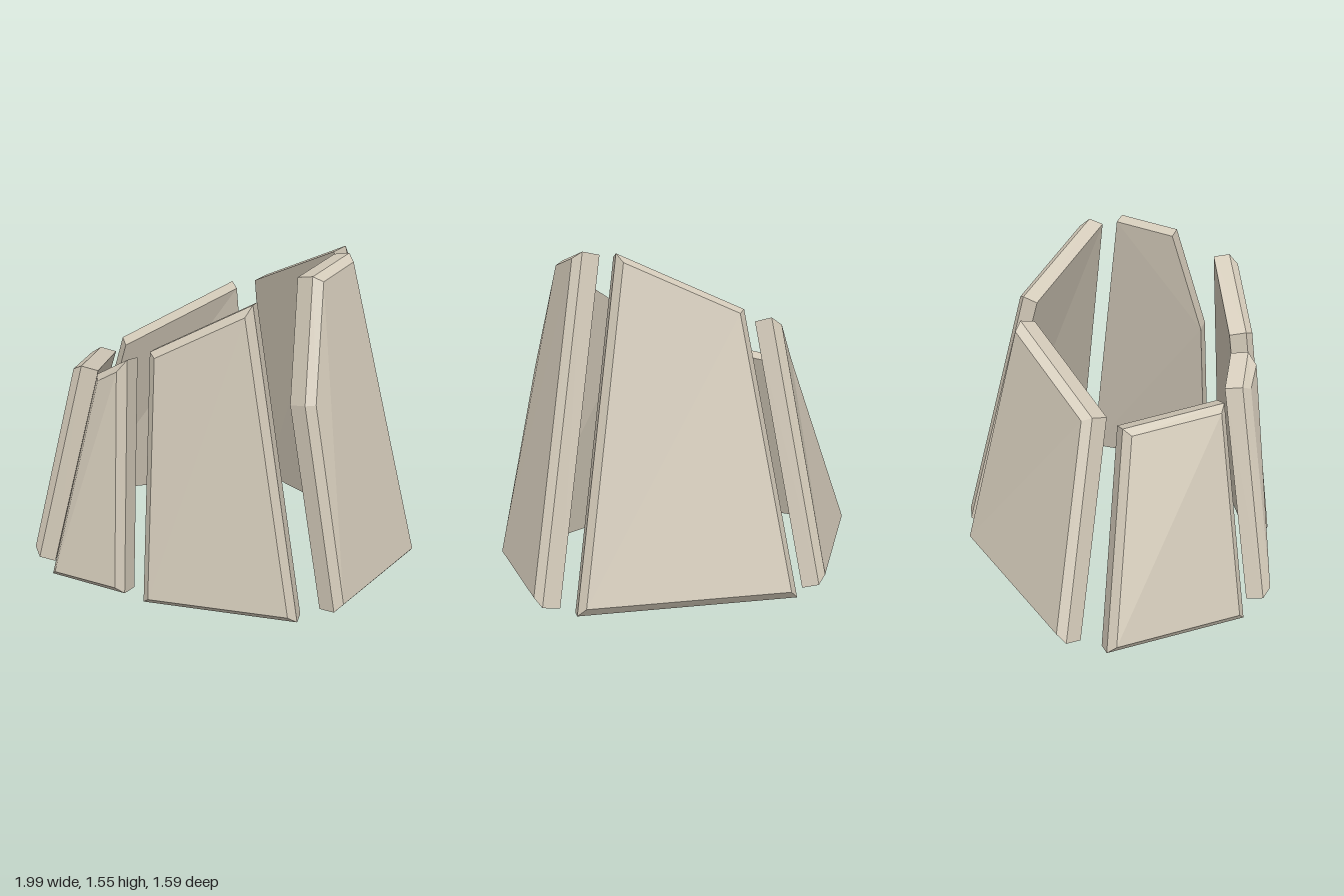
import * as THREE from 'three';

const stone = new THREE.MeshStandardMaterial({ color: 0xd2c9b8 });
stone.name = 'paleStone';

const DEPTH = 0.08;   // rim to inner face
const RAISE = 0.035;  // rim to outer face
const INSET = 0.032;  // bevel width on the outer face

// Leaning slab with a bevelled outer face.
// Rim corners run counter-clockwise as seen from outside.
function slab(name, corners) {
  const rim = corners.map(c => new THREE.Vector3(...c));
  const n = rim.length;
  const at = i => rim[(i + n) % n];

  // average outward normal of the rim
  const normal = new THREE.Vector3();
  for (let i = 0; i < n; i++) normal.add(at(i).clone().cross(at(i + 1)));
  normal.normalize();

  const inward = (a, b) => normal.clone().cross(b.clone().sub(a)).normalize();
  const outer = rim.map((p, i) => {
    const a = inward(at(i - 1), p), b = inward(p, at(i + 1));
    const mitre = INSET / (1 + a.dot(b));
    return p.clone().add(a.add(b).multiplyScalar(mitre)).addScaledVector(normal, RAISE);
  });
  const inner = rim.map(p => p.clone().addScaledVector(normal, -DEPTH));

  const pts = [];
  const face = (...v) => {
    for (let i = 1; i < v.length - 1; i++) pts.push(v[0], v[i], v[i + 1]);
  };
  face(...outer);
  face(...inner.slice().reverse());
  for (let i = 0; i < n; i++) {
    const j = (i + 1) % n;
    face(rim[i], rim[j], outer[j], outer[i]);  // bevel
    face(inner[i], inner[j], rim[j], rim[i]);  // side
  }
  const geometry = new THREE.BufferGeometry().setFromPoints(pts);
  geometry.computeVertexNormals();
  const mesh = new THREE.Mesh(geometry, stone);
  mesh.name = name;
  return mesh;
}

export function createModel() {
  const group = new THREE.Group();
  group.name = 'slabRing';
  group.add(
    slab('frontSlab', [
      [-0.12, 0.02, 0.765], [0.59, 0.02, 0.70], [0.33, 1.42, 0.575], [-0.12, 1.18, 0.605]]),
    slab('frontRightSlab', [
      [-0.63, 0.02, 0.68], [-0.23, 0.02, 0.73], [-0.23, 1.13, 0.60], [-0.40, 1.03, 0.555]]),
    // tall slab with a kinked front edge
    slab('leftSlab', [
      [0.73, 0.02, 0.575], [0.985, 0.02, -0.085], [0.62, 1.545, 0.045],
      [0.52, 1.495, 0.325], [0.545, 0.97, 0.495]]),
    slab('rightSlab', [
      [-0.985, 0.02, -0.075], [-0.765, 0.02, 0.565], [-0.53, 1.02, 0.455], [-0.645, 0.96, 0.005]]),
    slab('backLeftSlab', [
      [0.93, 0.02, -0.26], [0.10, 0.02, -0.79], [0.10, 1.29, -0.45], [0.57, 1.54, -0.125]]),
    slab('backRightSlab', [
      [-0.085, 0.02, -0.77], [-0.92, 0.02, -0.255], [-0.58, 0.98, -0.125], [-0.085, 1.24, -0.455]])
  );
  return group;
}
